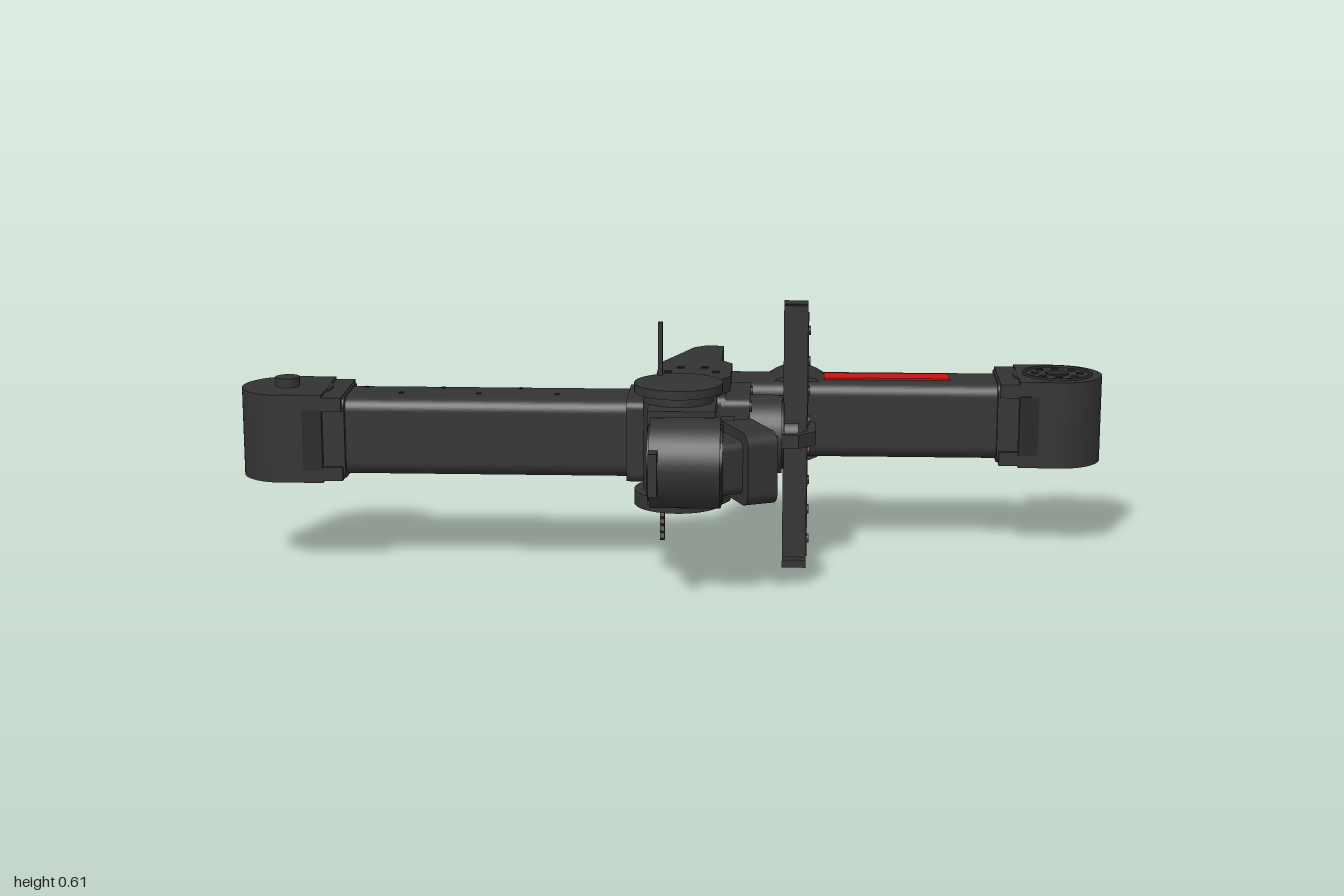
import * as THREE from 'three';

export function createModel() {
  const model = new THREE.Group();
  const body = new THREE.MeshStandardMaterial({ color: 0x333333 });
  body.name = 'charcoal';
  const dark = new THREE.MeshStandardMaterial({ color: 0x272727 });
  dark.name = 'dark charcoal';
  const red = new THREE.MeshStandardMaterial({ color: 0xd01010 });
  red.name = 'red';
  const CY = 0.307, ZL = -0.05, ZR = -0.265;

  const add = (name, geo, mat = body, parent = model) => {
    const m = new THREE.Mesh(geo, mat);
    m.name = name;
    parent.add(m);
    return m;
  };
  // box given by its limits on each axis
  const box = (name, x0, x1, y0, y1, z0, z1, mat) =>
    add(name, new THREE.BoxGeometry(x1 - x0, y1 - y0, z1 - z0), mat)
      .position.set((x0 + x1) / 2, (y0 + y1) / 2, (z0 + z1) / 2);
  // cylinder along one axis, centred at (x, y, z)
  const cyl = (name, axis, r, len, x, y, z, mat, sides = 40) => {
    const m = add(name, new THREE.CylinderGeometry(r, r, len, sides), mat);
    if (axis === 'x') m.rotation.z = -Math.PI / 2;
    if (axis === 'z') m.rotation.x = Math.PI / 2;
    m.position.set(x, y, z);
    return m;
  };
  const roundRect = (w, h, r) => {
    const s = new THREE.Shape();
    s.absarc(w / 2 - r, h / 2 - r, r, 0, Math.PI / 2);
    s.absarc(r - w / 2, h / 2 - r, r, Math.PI / 2, Math.PI);
    s.absarc(r - w / 2, r - h / 2, r, Math.PI, Math.PI * 1.5);
    s.absarc(w / 2 - r, r - h / 2, r, Math.PI * 1.5, Math.PI * 2);
    return s;
  };
  // rounded bar running along x, starting at x = 0
  const bar = (w, h, r, len) => new THREE.ExtrudeGeometry(roundRect(w, h, r),
    { depth: len, bevelEnabled: false, curveSegments: 8 }).rotateY(Math.PI / 2);
  const barAt = (name, x0, x1, w, h, r, z, mat) =>
    add(name, bar(w, h, r, x1 - x0), mat).position.set(x0, CY, z);
  // flat plate from an outline of [x, z] points
  const slab = (name, pts, y0, y1, mat, hole) => {
    const v = (list) => list.map(([x, z]) => new THREE.Vector2(x, -z));
    const s = new THREE.Shape(v(pts));
    if (hole) s.holes.push(new THREE.Path(v(hole)));
    const g = new THREE.ExtrudeGeometry(s, { depth: y1 - y0, bevelEnabled: false });
    return add(name, g.rotateX(-Math.PI / 2).translate(0, y0, 0), mat);
  };

  // two arm tubes, each with a rounded end joint
  barAt('leftArmTube', -0.77, -0.08, 0.168, 0.18, 0.03, ZL - 0.003);
  barAt('rightArmTube', 0.09, 0.77, 0.165, 0.18, 0.03, ZR);
  for (const [side, z, ringY] of [[-1, ZL, 0.205], [1, ZR, 0.41]]) {
    const span = (a, b) => (side > 0 ? [a, b] : [-b, -a]);
    cyl('endJoint', 'y', 0.105, 0.205, side * 0.895, CY, z);
    box('endJointBlock', ...span(0.80, 0.895), 0.205, 0.41, z - 0.105, z + 0.105);
    for (const y of [0.21, 0.372]) // cheeks gripping the tube
      box('endJointCheek', ...span(0.755, 0.80), y, y + 0.032, z - 0.105, z + 0.105);
    barAt('endCollar', ...span(0.75, 0.81), 0.19, 0.19, 0.02, z);
    for (const s of [-1, 1]) // pocket plates
      box('endPocket', ...span(0.80, 0.845), 0.235, 0.375, z + s * 0.105 - 0.002, z + s * 0.105 + 0.002, dark);
    // bearing ring with its screws
    const ring = add('bearingRing', new THREE.TorusGeometry(0.078, 0.005, 6, 36).rotateX(Math.PI / 2), dark);
    ring.position.set(side * 0.895, ringY, z);
    cyl('bearingHub', 'y', 0.028, 0.006, side * 0.895, ringY, z, dark);
    for (let i = 0; i < 8; i++) {
      const a = (i / 8) * Math.PI * 2;
      cyl('bearingScrew', 'y', 0.009, 0.006, side * 0.895 + 0.053 * Math.cos(a), ringY, z + 0.053 * Math.sin(a), dark, 10);
    }
  }
  cyl('endKnob', 'y', 0.028, 0.022, -0.895, 0.42, ZL);
  for (let i = 0; i < 6; i++) // vents and screws on the left tube
    cyl('tubeScrew', 'y', 0.006, 0.004, -0.72 + i * 0.09, 0.397, -0.1 + (i % 2) * 0.06, dark, 8);

  // red stripes on the top and bottom of the right tube
  for (const y of [0.398, 0.216]) box('redStripe', 0.345, 0.64, y - 0.003, y + 0.003, -0.295, -0.235, red);

  // elbow drum
  cyl('elbowDrum', 'z', 0.105, 0.145, 0.28, CY, -0.2825);
  for (let i = 0; i < 4; i++) {
    const a = (i / 4 + 0.125) * Math.PI * 2;
    cyl('drumScrew', 'z', 0.008, 0.004, 0.28 + 0.06 * Math.cos(a), CY + 0.06 * Math.sin(a), -0.356, dark, 8);
  }

  // central bracket: two plates joined by a back wall
  const outline = [[-0.04, -0.15], [0.035, -0.345], [0.06, -0.365], [0.105, -0.365], [0.105, -0.19],
    [0.13, -0.155], [0.13, -0.01], [0.1, 0.05], [-0.04, 0.05]];
  slab('bracketTop', outline, 0.415, 0.45);
  slab('bracketBottom', outline, 0.157, 0.195);
  slab('bracketWall', [[-0.025, -0.165], [0.035, -0.345], [0.06, -0.365], [0.105, -0.365], [0.105, -0.165]], 0.157, 0.45);
  for (let i = 0; i < 6; i++) {
    const a = (i / 6) * Math.PI * 2;
    for (const y of [0.45, 0.157])
      cyl('bracketScrew', 'y', 0.009, 0.006, 0.04 + 0.055 * Math.cos(a), y, ZL + 0.055 * Math.sin(a), dark, 10);
  }
  barAt('armCollar', -0.105, -0.03, 0.205, 0.19, 0.02, ZL);
  barAt('jointCore', -0.035, 0.12, 0.2, 0.215, 0.02, ZL);

  // front shoulder joint with discs above and below
  cyl('shoulderDiscTop', 'y', 0.1, 0.02, 0.015, 0.444, 0.08);
  cyl('shoulderHub', 'y', 0.08, 0.25, 0.015, 0.31, 0.08);
  cyl('shoulderDiscBottom', 'y', 0.1, 0.034, 0.015, 0.192, 0.08);
  box('shoulderBlock', -0.05, 0.1, 0.2, 0.413, 0.03, 0.2);

  // front motor barrel with its rear tab
  cyl('motorBarrel', 'x', 0.1, 0.155, 0.0375, CY, 0.24);
  cyl('motorEndCap', 'x', 0.085, 0.165, 0.0375, CY, 0.24, dark);
  box('motorTab', -0.04, -0.02, 0.26, 0.355, 0.24, 0.365);

  // slanted sensor head
  const head = new THREE.Group();
  head.name = 'sensorHead';
  head.position.set(0.172, CY, 0.222);
  head.rotation.y = 0.41;
  model.add(head);
  add('headShell', bar(0.18, 0.162, 0.03, 0.07), body, head).position.x = -0.035;
  add('headFace', bar(0.15, 0.14, 0.022, 0.006), dark, head).position.x = 0.031;
  add('headRear', bar(0.12, 0.12, 0.02, 0.07), body, head).position.x = -0.1;
  box('headMount', 0.08, 0.14, 0.24, 0.37, 0.03, 0.18);

  // tool flange and turntable
  barAt('toolFlange', 0.11, 0.175, 0.205, 0.205, 0.02, ZL);
  cyl('toolTurntable', 'x', 0.09, 0.075, 0.21, CY, ZL);
  add('turntableRing', new THREE.TorusGeometry(0.075, 0.006, 6, 36).rotateY(Math.PI / 2), dark).position.set(0.248, CY, ZL);
  cyl('toolHub', 'x', 0.035, 0.05, 0.26, CY, ZL);
  for (const sy of [-1, 1]) for (const sz of [-1, 1])
    cyl('flangeScrew', 'x', 0.012, 0.006, 0.176, CY + sy * 0.082, ZL + sz * 0.082, dark, 10);

  // open strap around the tool
  slab('toolStrap',
    [[0.2, -0.155], [0.25, -0.135], [0.285, -0.135], [0.325, -0.095], [0.325, -0.005], [0.285, 0.035], [0.25, 0.035], [0.2, 0.055]],
    0.292, 0.324, body,
    [[0.215, -0.13], [0.25, -0.118], [0.278, -0.118], [0.305, -0.088], [0.305, -0.012], [0.278, 0.018], [0.25, 0.018], [0.215, 0.03]]);

  // vertical tool rail with hooked ends and screws
  box('toolRail', 0.25, 0.305, 0, 0.61, -0.065, -0.031);
  box('railInset', 0.301, 0.307, 0.02, 0.59, -0.06, -0.036, dark);
  box('railHookTop', 0.25, 0.305, 0.595, 0.612, -0.09, -0.04);
  box('railHookBottom', 0.25, 0.305, 0, 0.018, -0.06, -0.006);
  for (let i = 0; i < 8; i++) cyl('railScrew', 'x', 0.011, 0.006, 0.308, 0.06 + i * 0.07, -0.048, body, 12);

  // thin toothed racks
  const rack = (name, y0, y1, zBack, zRoot, zTip) => {
    const s = new THREE.Shape();
    s.moveTo(-zBack, y0);
    s.lineTo(-zRoot, y0);
    const n = Math.round((y1 - y0) / 0.0175), step = (y1 - y0) / n;
    for (let i = 0; i < n; i++) {
      s.lineTo(-zTip, y0 + (i + 0.5) * step);
      s.lineTo(-zRoot, y0 + (i + 1) * step);
    }
    s.lineTo(-zBack, y1);
    const g = new THREE.ExtrudeGeometry(s, { depth: 0.01, bevelEnabled: false });
    add(name, g.rotateY(Math.PI / 2)).position.x = -0.035;
  };
  rack('upperRack', 0.3, 0.575, 0.01, -0.01, -0.021);
  rack('lowerRack', 0.04, 0.3, -0.105, -0.085, -0.074);

  return model;
}
